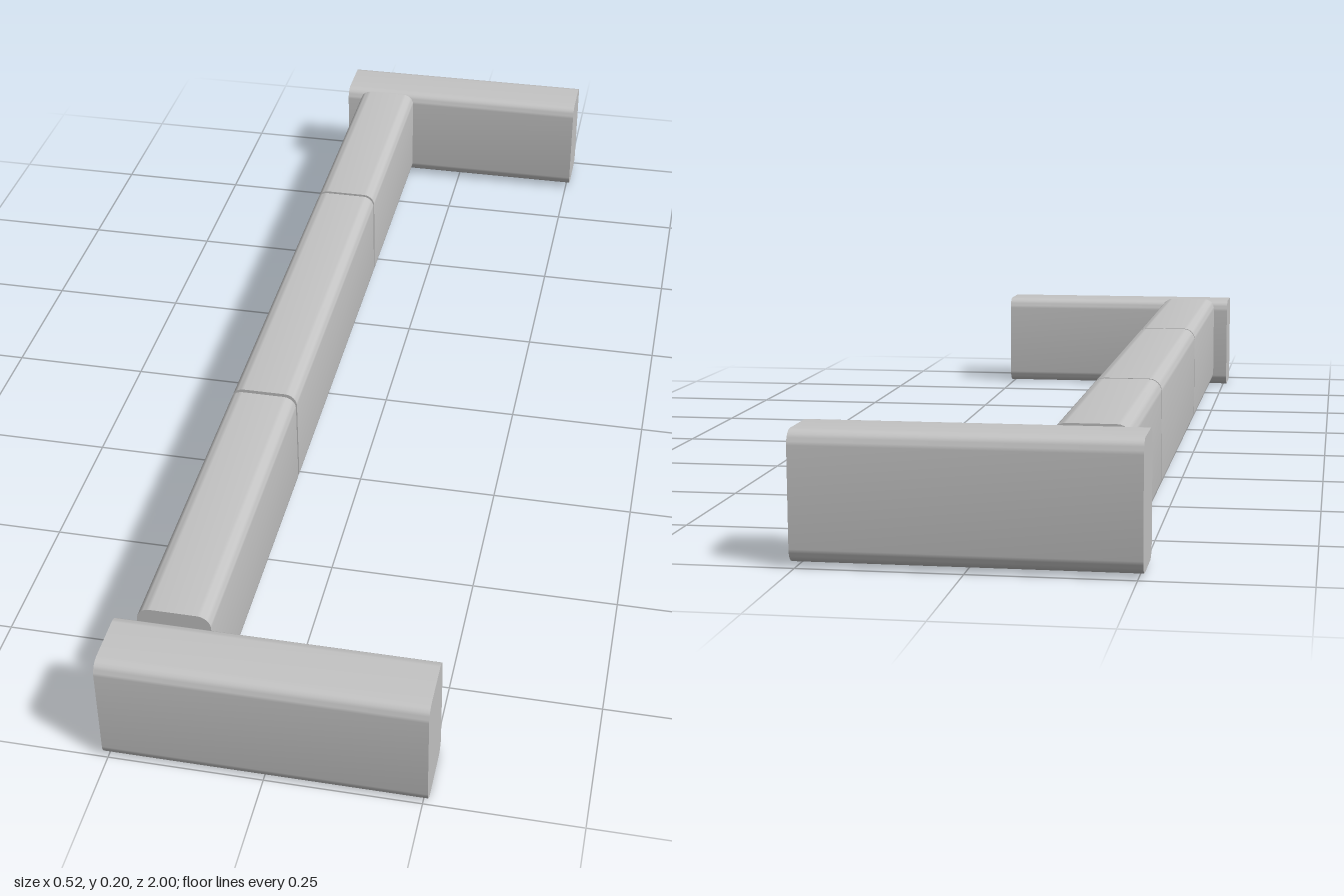
import * as THREE from 'three';
import { toCreasedNormals } from 'three/addons/utils/BufferGeometryUtils.js';

const WIDTH = 0.12, HEIGHT = 0.197, RADIUS = 0.022;

// Bar of the given length along z: softly rounded long edges, sharp flat ends
function barGeometry(length) {
  const w = WIDTH / 2 - RADIUS, h = HEIGHT / 2 - RADIUS;
  const profile = new THREE.Shape();
  profile.absarc(w, h, RADIUS, 0, Math.PI / 2);
  profile.absarc(-w, h, RADIUS, Math.PI / 2, Math.PI);
  profile.absarc(-w, -h, RADIUS, Math.PI, Math.PI * 1.5);
  profile.absarc(w, -h, RADIUS, Math.PI * 1.5, Math.PI * 2);
  profile.closePath();
  const geometry = new THREE.ExtrudeGeometry(profile, { depth: length, bevelEnabled: false, curveSegments: 3 });
  geometry.translate(0, 0, -length / 2);
  return toCreasedNormals(geometry, 0.6);
}

export function createModel() {
  const group = new THREE.Group();
  const grey = new THREE.MeshStandardMaterial({ color: 0xc4c4c4 });
  grey.name = 'lightGrey';

  function addBar(name, length, x, bottom, z, crosswise = false) {
    const mesh = new THREE.Mesh(barGeometry(length), grey);
    mesh.name = name;
    mesh.position.set(x, bottom + HEIGHT / 2, z);
    if (crosswise) mesh.rotation.y = Math.PI / 2;
    group.add(mesh);
  }

  // End bars lying across
  addBar('frontBar', 0.516, 0, 0, 0.94, true);
  addBar('backBar', 0.516, 0, 0.006, -0.94, true);

  // Three rail sections in line, with narrow gaps between them
  const rails = [['backRail', -0.88, -0.426], ['middleRail', -0.419, 0.285], ['frontRail', 0.293, 0.872]];
  for (const [name, z0, z1] of rails) addBar(name, z1 - z0, -0.168, 0.006, (z0 + z1) / 2);

  return group;
}
